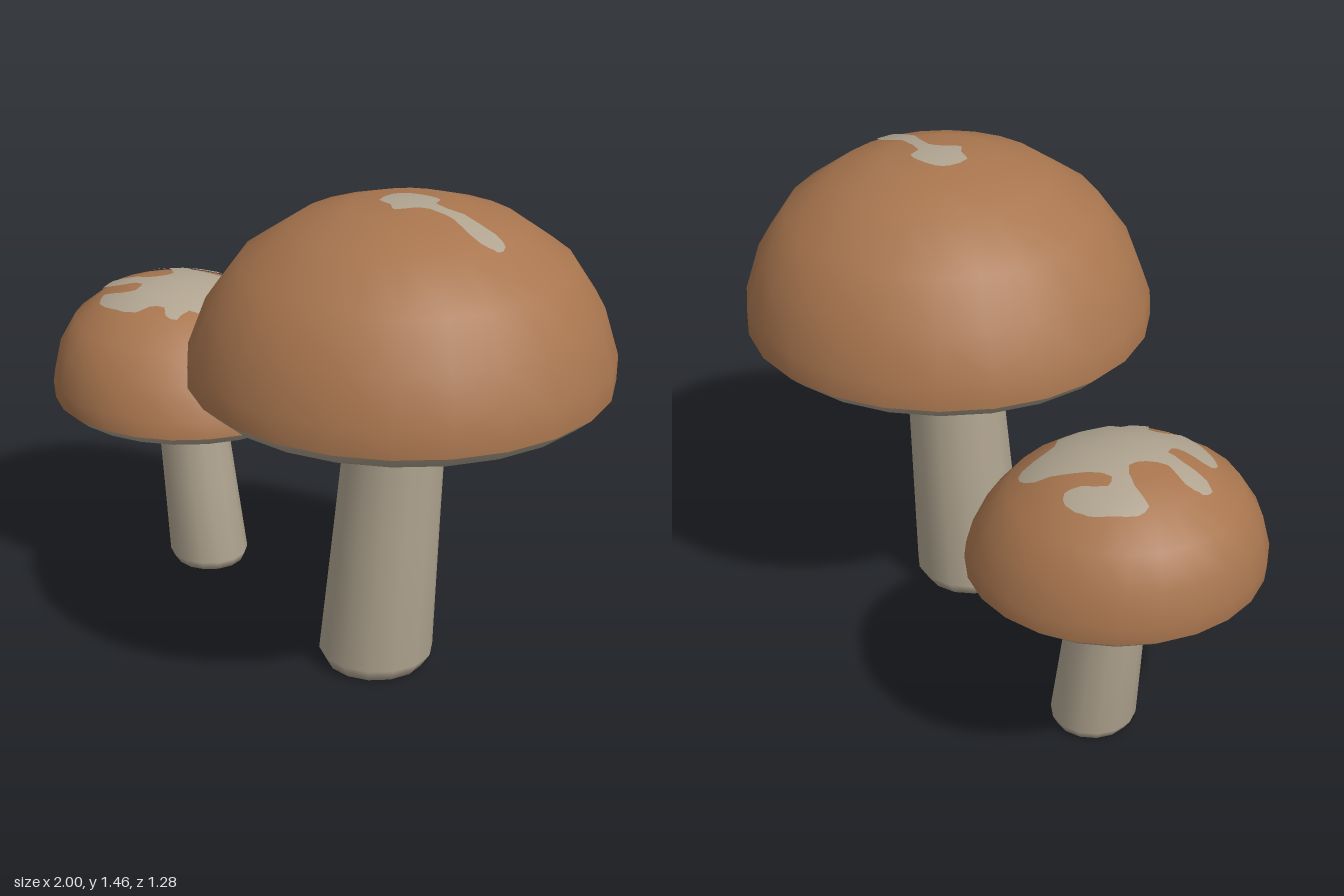
import * as THREE from 'three';
import { mergeVertices } from 'three/addons/utils/BufferGeometryUtils.js';

const SIDES = 24;
// dome profile for a cap of radius 1: [radius, height above the underside]
const DOME = [[1, 0.065], [0.998, 0.19], [0.92, 0.42], [0.775, 0.632], [0.53, 0.805], [0.275, 0.89], [0, 0.908]];
const RIM = [[0.41, 0], [0.925, 0], [1, 0.065]];

// patch outlines as [x, z] seen from above
const LARGE_PATCH = [
  [0.32, -0.02], [0.35, -0.05], [0.42, -0.06], [0.46, -0.05], [0.47, -0.01], [0.56, 0.01], [0.68, 0.02], [0.73, 0.05],
  [0.73, 0.09], [0.68, 0.1], [0.59, 0.07], [0.48, 0.04], [0.44, 0.06], [0.4, 0.1], [0.37, 0.07], [0.32, 0.05],
];
const SMALL_PATCH = [
  [-0.8, -0.33], [-0.8, -0.37], [-0.76, -0.41], [-0.7, -0.455], [-0.62, -0.465], [-0.59, -0.44], [-0.61, -0.4],
  [-0.67, -0.36], [-0.655, -0.33], [-0.59, -0.35], [-0.53, -0.39], [-0.47, -0.43], [-0.41, -0.43], [-0.38, -0.39],
  [-0.39, -0.28], [-0.345, -0.22], [-0.35, -0.155], [-0.4, -0.1], [-0.46, -0.085], [-0.47, -0.03], [-0.505, -0.02],
  [-0.53, -0.05], [-0.575, -0.03], [-0.6, 0.01], [-0.69, 0.01], [-0.77, -0.02], [-0.78, -0.06], [-0.72, -0.07],
  [-0.67, -0.09], [-0.675, -0.13], [-0.77, -0.12], [-0.85, -0.13], [-0.85, -0.17], [-0.8, -0.19], [-0.72, -0.18],
  [-0.67, -0.21], [-0.65, -0.26], [-0.72, -0.31],
];

const lathe = (points, scale, sides) =>
  new THREE.LatheGeometry(points.map(([r, y]) => new THREE.Vector2(r * scale, y * scale)), sides);

// slant a geometry sideways in proportion to height
function lean(geometry, dx, dz) {
  return geometry.applyMatrix4(new THREE.Matrix4().set(1, dx, 0, 0, 0, 1, 0, 0, 0, dz, 1, 0, 0, 0, 0, 1));
}

// height of the faceted dome (radius 1) above a point
function domeHeight(x, z) {
  const step = (Math.PI * 2) / SIDES;
  const angle = Math.atan2(x, z) + Math.PI * 2;
  const r = Math.hypot(x, z) * Math.cos((angle % step) - step / 2) / Math.cos(step / 2);
  for (let i = DOME.length - 1; i > 0; i--) {
    const [r0, y0] = DOME[i], [r1, y1] = DOME[i - 1];
    if (r <= r1) return y0 + (y1 - y0) * (r - r0) / (r1 - r0);
  }
  return DOME[0][1];
}

// thin patch: smooth outline, split finely and draped over the dome
function patchGeometry(outline, apexX, apexZ, radius) {
  const curve = new THREE.CatmullRomCurve3(
    outline.map(([x, z]) => new THREE.Vector3((x - apexX) / radius, (apexZ - z) / radius, 0)), true);
  const shape = new THREE.Shape(curve.getPoints(outline.length * 2).slice(0, -1).map(p => new THREE.Vector2(p.x, p.y)));
  const flat = new THREE.ShapeGeometry(shape).toNonIndexed().getAttribute('position');
  let points = [];
  for (let i = 0; i < flat.count; i++) points.push(new THREE.Vector3(flat.getX(i), 0, -flat.getY(i)));
  for (let pass = 0; pass < 4; pass++) {
    const next = [];
    for (let i = 0; i < points.length; i += 3) {
      const [a, b, c] = points.slice(i, i + 3);
      const mid = (p, q) => p.clone().lerp(q, 0.5);
      const ab = mid(a, b), bc = mid(b, c), ca = mid(c, a);
      next.push(a, ab, ca, ab, b, bc, ca, bc, c, ab, bc, ca);
    }
    points = next;
  }
  const positions = [], normals = [], n = new THREE.Vector3();
  for (const p of points) {
    const y = domeHeight(p.x, p.z);
    n.set(p.x, (y - 0.1) / 0.66, p.z).normalize();
    positions.push(p.x * radius, y * radius + 0.005, p.z * radius);
    normals.push(n.x, n.y, n.z);
  }
  const geometry = new THREE.BufferGeometry();
  geometry.setAttribute('position', new THREE.Float32BufferAttribute(positions, 3));
  geometry.setAttribute('normal', new THREE.Float32BufferAttribute(normals, 3));
  return mergeVertices(geometry);
}

export function createModel() {
  const brown = new THREE.MeshStandardMaterial({ color: 0xa9764f });
  brown.name = 'capBrown';
  const cream = new THREE.MeshStandardMaterial({ color: 0xb0a490 });
  cream.name = 'stemCream';

  function mushroom(name, o) {
    const group = new THREE.Group();
    group.name = name;
    const add = (part, geometry, material, x, y, z) => {
      const mesh = new THREE.Mesh(geometry, material);
      mesh.name = part;
      mesh.position.set(x, y, z);
      group.add(mesh);
    };
    const [cx, cy, cz] = o.cap, R = o.radius;
    // cap: dome, pale rim and underside, brown ring around the stem
    add('capDome', lean(lathe(DOME, R, SIDES), o.capLean, 0), brown, cx, cy, cz);
    add('capUnderside', lean(lathe(RIM, R, SIDES), o.capLean, 0), cream, cx, cy, cz);
    add('stemRing', lathe([[0, 0], [0.41, 0]], R, SIDES), brown, cx, cy, cz);
    const apexX = cx + o.capLean * R * 0.88;
    add('capPatch', lean(patchGeometry(o.patch, apexX, cz, R), o.capLean, 0), cream, cx, cy, cz);
    // leaning stem with a bevelled foot
    const [sx, sz] = o.foot, [r0, r1] = o.stemRadii, top = cy + 0.01;
    const stem = lathe([[0, 0], [r0 * 0.86, 0], [r0, r0 * 0.24], [(r0 + r1) / 2, top / 2], [r1, top]], 1, 14);
    add('stem', lean(stem, (cx - sx) / top, (cz - sz) / top), cream, sx, 0, sz);
    return group;
  }

  const model = new THREE.Group();
  model.name = 'mushrooms';
  model.add(
    mushroom('largeMushroom', {
      cap: [0.38, 0.89, 0.02], radius: 0.617, capLean: 0.04, patch: LARGE_PATCH,
      foot: [0.325, 0.045], stemRadii: [0.172, 0.144],
    }),
    mushroom('smallMushroom', {
      cap: [-0.562, 0.56, -0.215], radius: 0.427, capLean: -0.15, patch: SMALL_PATCH,
      foot: [-0.5, -0.23], stemRadii: [0.126, 0.108],
    }),
  );
  return model;
}
